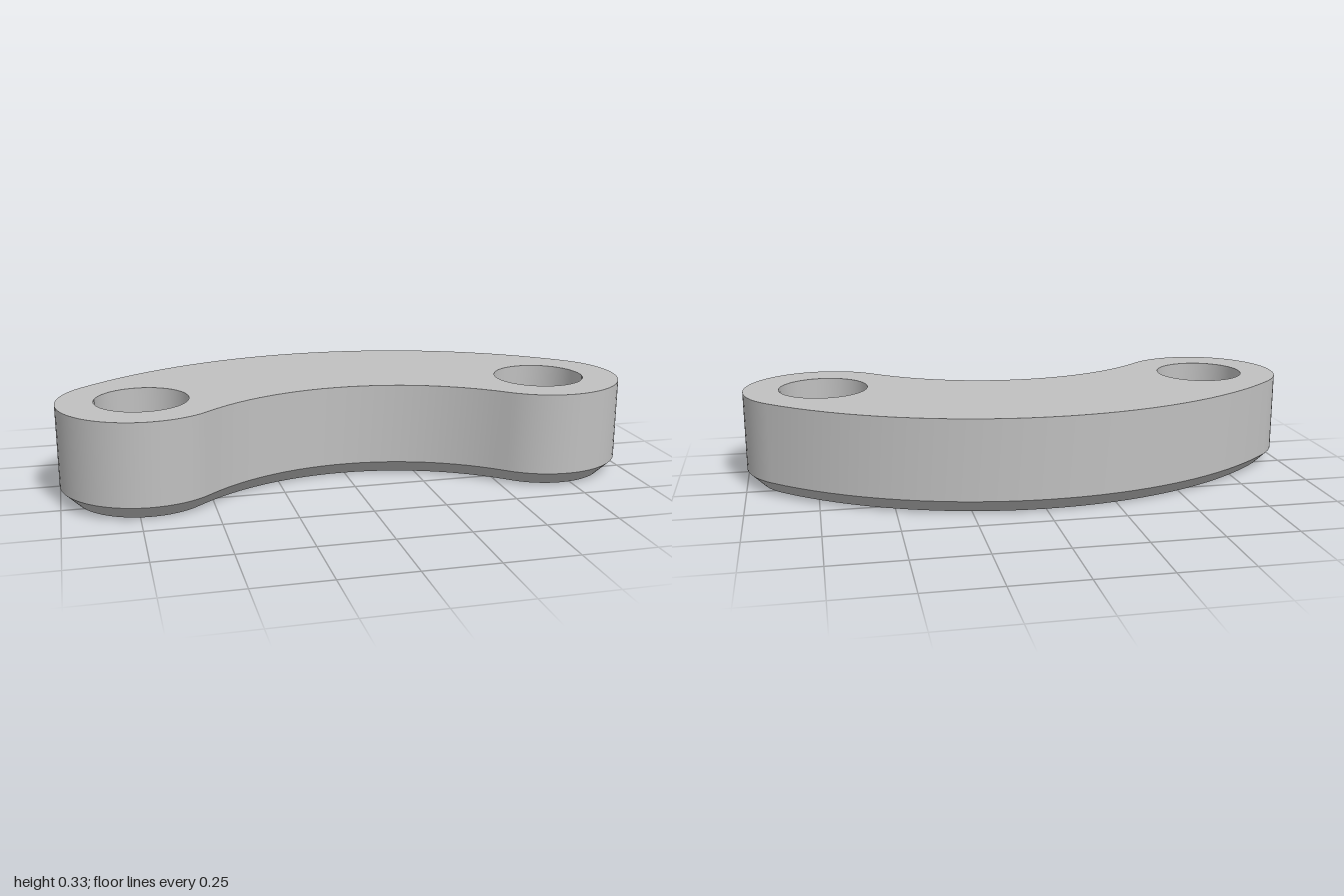
import * as THREE from 'three';

const HEIGHT = 0.333, CHAMFER = 0.05;
const END = 0.285, HOLE = 0.159;        // end radius and bore radius
const END_X = 0.715, END_Z = 0.143;     // bore centre
const ARC_Z = 0.894;                    // centre of the curved link, on x = 0
const MID = Math.hypot(END_X, ARC_Z - END_Z);
const HALF = Math.atan2(END_X, ARC_Z - END_Z);

// Points [x, z] on an arc; angle 0 points to the back, the last point is left out
function arc(cx, cz, r, from, to, n) {
  return Array.from({ length: n }, (_, i) => {
    const a = from + (to - from) * i / n;
    return [cx + r * Math.sin(a), cz - r * Math.cos(a)];
  });
}

// Link outline, moved inwards by d
function outline(d) {
  const w = END - d;
  return [
    ...arc(0, ARC_Z, MID + w, -HALF, HALF, 32),
    ...arc(END_X, END_Z, w, HALF, HALF + Math.PI, 32),
    ...arc(0, ARC_Z, MID - w, HALF, -HALF, 24),
    ...arc(-END_X, END_Z, w, Math.PI - HALF, 2 * Math.PI - HALF, 32),
  ];
}

// Closed smooth wall between two loops of equal length
function band(lower, y0, upper, y1) {
  const n = lower.length, pos = [], index = [];
  lower.forEach(([x, z]) => pos.push(x, y0, z));
  upper.forEach(([x, z]) => pos.push(x, y1, z));
  for (let i = 0; i < n; i++) {
    const j = (i + 1) % n;
    index.push(i, n + i, j, j, n + i, n + j);
  }
  const g = new THREE.BufferGeometry();
  g.setAttribute('position', new THREE.Float32BufferAttribute(pos, 3));
  g.setIndex(index);
  g.computeVertexNormals();
  return g;
}

// Flat face with the two bores cut out; side is 1 for up, -1 for down
function cap(loop, bores, y, side) {
  const flat = pts => pts.map(([x, z]) => new THREE.Vector2(x, -side * z));
  const shape = new THREE.Shape(flat(loop));
  bores.forEach(b => shape.holes.push(new THREE.Path(flat(b))));
  return new THREE.ShapeGeometry(shape).rotateX(-side * Math.PI / 2).translate(0, y, 0);
}

export function createModel() {
  const grey = new THREE.MeshStandardMaterial({ color: 0xc0c0c0 });
  grey.name = 'grey';
  const group = new THREE.Group();
  group.name = 'curvedLink';
  const add = (name, geometry) => {
    const mesh = new THREE.Mesh(geometry, grey);
    mesh.name = name;
    group.add(mesh);
  };

  const full = outline(0), inset = outline(CHAMFER);
  // Bore loops run the other way, so their walls face inwards
  const bores = [-1, 1].map(s => arc(s * END_X, END_Z, HOLE, 2 * Math.PI, 0, 48));

  add('topFace', cap(full, bores, HEIGHT, 1));
  add('sideWall', band(full, CHAMFER, full, HEIGHT));
  add('bottomChamfer', band(inset, 0, full, CHAMFER));
  add('bottomFace', cap(inset, bores, 0, -1));
  add('rightBore', band(bores[0], 0, bores[0], HEIGHT));
  add('leftBore', band(bores[1], 0, bores[1], HEIGHT));
  return group;
}
